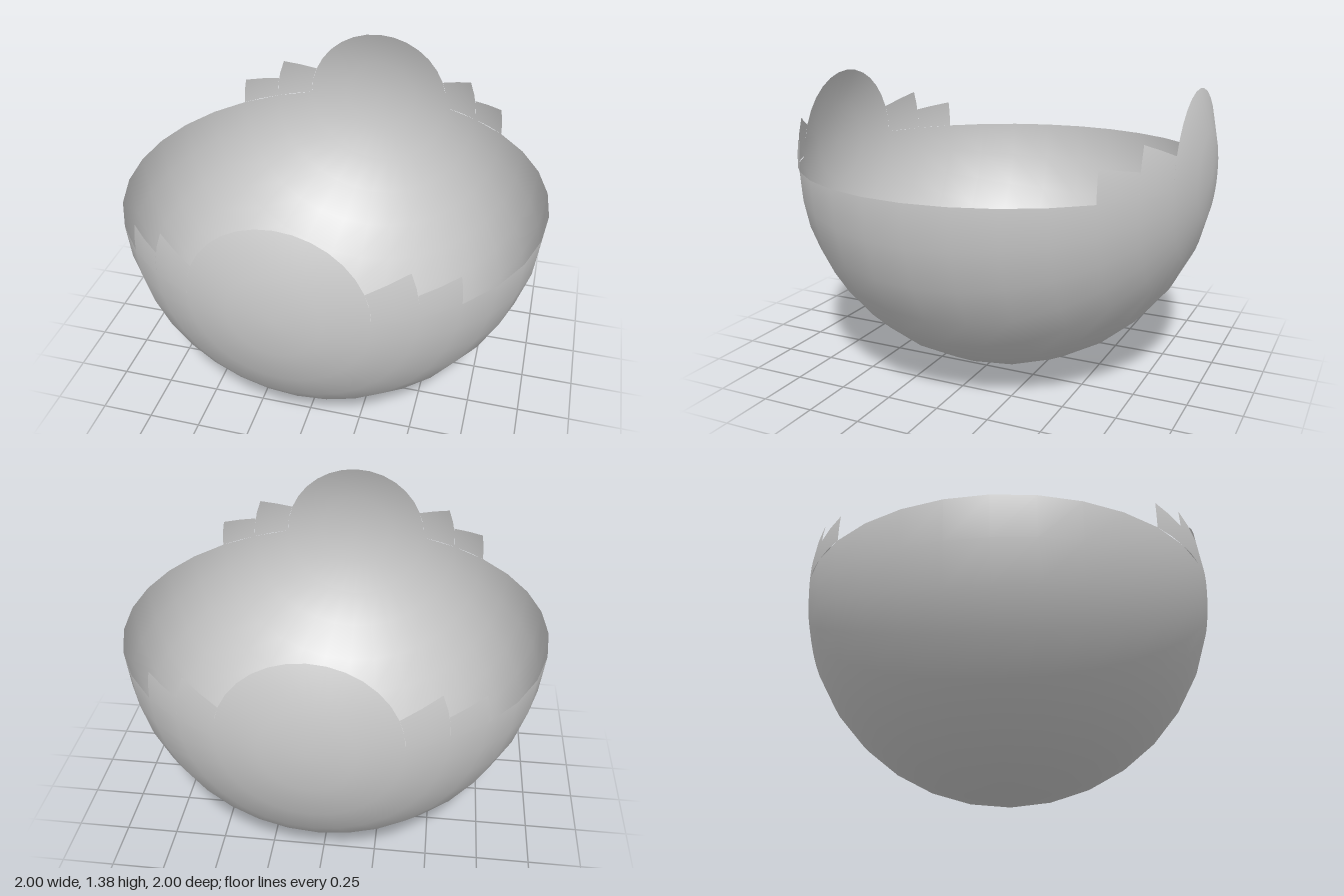
import * as THREE from 'three';

const STEP = Math.PI / 16; // one cell of a 32-sided sphere

export function createModel() {
  const model = new THREE.Group();
  const material = new THREE.MeshStandardMaterial({ color: 0xcccccc, side: THREE.DoubleSide });

  // Patch of a unit sphere whose poles lie on the z axis, measured in cells:
  // around = 0..16 is the lower half, 16..32 the upper; down = 0 is the front pole.
  const addPatch = (name, around, aroundCount, down, downCount, parent) => {
    const geometry = new THREE.SphereGeometry(1, aroundCount, downCount,
      around * STEP, aroundCount * STEP, down * STEP, downCount * STEP);
    geometry.rotateX(Math.PI / 2).translate(0, 1, 0);
    const mesh = new THREE.Mesh(geometry, material);
    mesh.name = name;
    parent.add(mesh);
  };

  // Open half-sphere shell
  addPatch('bowl', 0, 16, 0, 16, model);

  // Raised rim at both ends: a round lobe flanked by two stepped teeth per side
  for (const front of [true, false]) {
    const rim = new THREE.Group();
    rim.name = front ? 'frontRim' : 'backRim';
    const place = (name, around, aroundCount, down, downCount) =>
      addPatch(name, around, aroundCount, front ? down : 16 - down - downCount, downCount, rim);
    place('roundLobe', 16, 16, 0, 2);
    place('leftInnerTooth', 16, 2, 2, 1);
    place('leftOuterTooth', 16, 1, 3, 1);
    place('rightInnerTooth', 30, 2, 2, 1);
    place('rightOuterTooth', 31, 1, 3, 1);
    model.add(rim);
  }
  return model;
}
